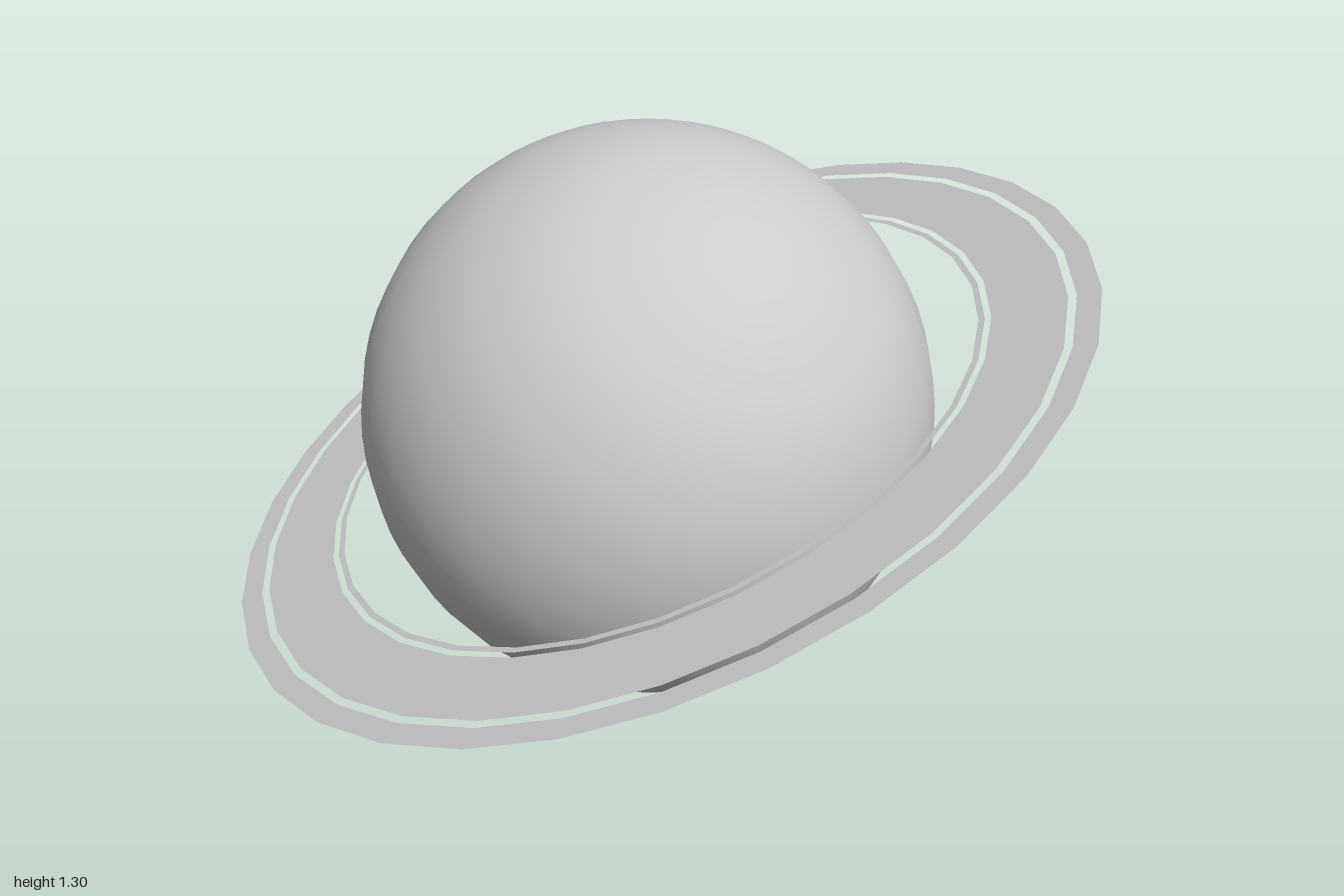
import * as THREE from 'three';

const SEGMENTS = 32;
const HALF_STEP = Math.PI / SEGMENTS;
const RADIUS = 0.652;

export function createModel() {
  const model = new THREE.Group();
  model.name = 'ringedPlanet';

  // Smooth globe standing on the ground
  const globe = new THREE.Mesh(
    new THREE.SphereGeometry(RADIUS, SEGMENTS, SEGMENTS).rotateY(HALF_STEP),
    new THREE.MeshStandardMaterial({ color: 0xcccccc })
  );
  globe.name = 'globe';
  globe.position.y = RADIUS;
  model.add(globe);

  // Flat concentric bands, tilted up towards the back left
  const rings = new THREE.Group();
  rings.name = 'rings';
  rings.position.y = RADIUS;
  const normal = new THREE.Vector3(-0.275, 0.921, 0.275).normalize();
  rings.quaternion.setFromUnitVectors(new THREE.Vector3(0, 1, 0), normal);
  model.add(rings);

  const ringMaterial = new THREE.MeshStandardMaterial({ color: 0xcccccc, side: THREE.DoubleSide });
  const bands = [
    ['innerRing', 0.779, 0.793],
    ['mainRing', 0.807, 0.972],
    ['outerRing', 0.99, 1.0425],
  ];
  for (const [name, inner, outer] of bands) {
    const geometry = new THREE.RingGeometry(inner, outer, SEGMENTS, 1, HALF_STEP);
    const band = new THREE.Mesh(geometry.rotateX(-Math.PI / 2), ringMaterial);
    band.name = name;
    rings.add(band);
  }

  return model;
}
